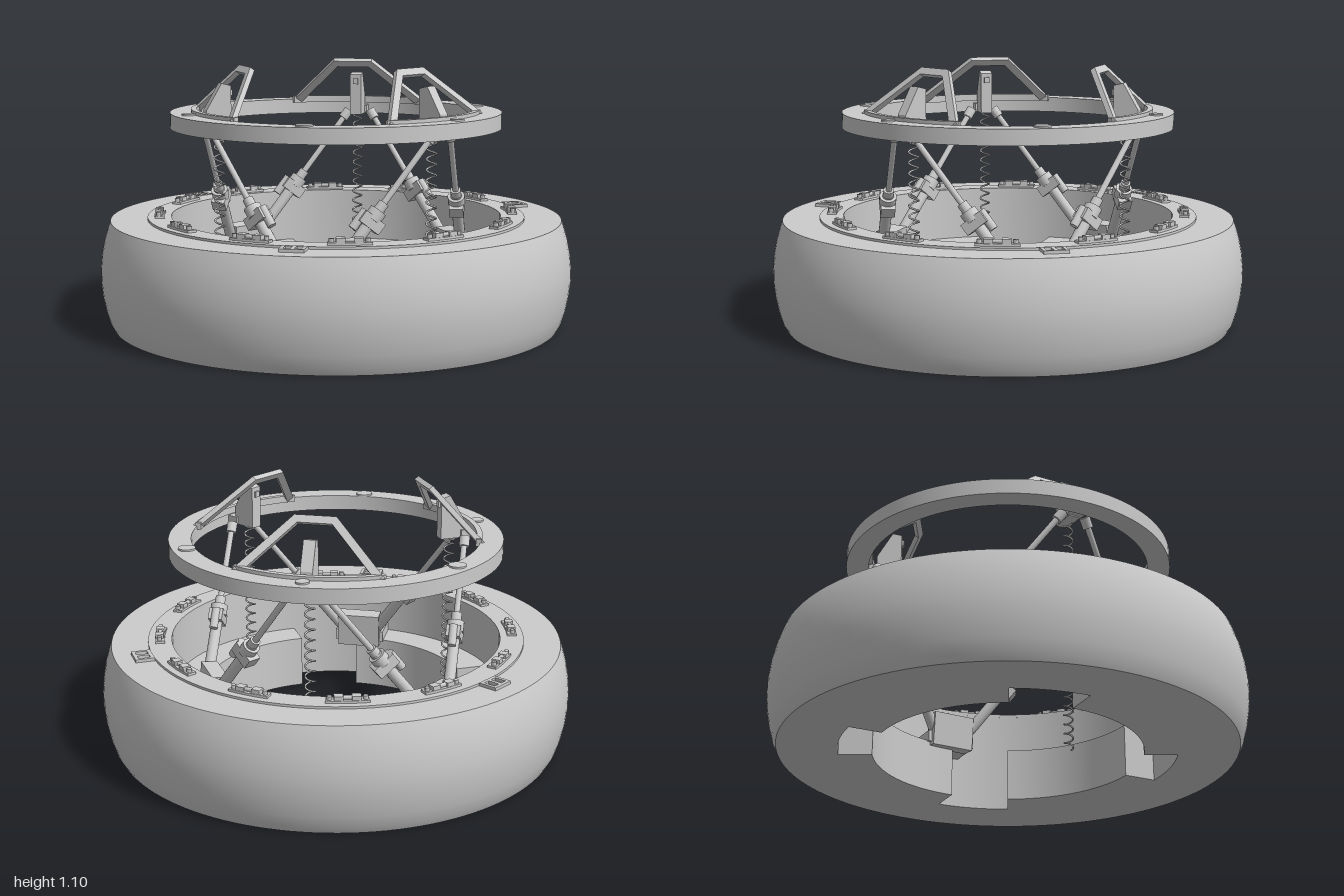
import * as THREE from 'three';
import { toCreasedNormals } from 'three/addons/utils/BufferGeometryUtils.js';

const grey = new THREE.MeshStandardMaterial({ color: 0xcccccc });
const rad = THREE.MathUtils.degToRad;
const V = (x, y, z) => new THREE.Vector3(x, y, z);

function add(parent, name, geometry, x = 0, y = 0, z = 0) {
  const mesh = new THREE.Mesh(geometry, grey);
  mesh.name = name;
  mesh.position.set(x, y, z);
  parent.add(mesh);
  return mesh;
}

// Group turned about the axis; its local +x points outward at the given angle
function sector(parent, name, degrees) {
  const group = new THREE.Group();
  group.name = name;
  group.rotation.y = -rad(degrees);
  parent.add(group);
  return group;
}

function revolve(points, segments = 96) {
  const profile = points.map(([r, y]) => new THREE.Vector2(r, y));
  profile.push(profile[0].clone());
  return toCreasedNormals(new THREE.LatheGeometry(profile, segments), 0.5);
}

// Flat curved block spanning +-half degrees around +x
function arcBlock(inner, outer, half, height) {
  const shape = new THREE.Shape();
  shape.absarc(0, 0, outer, -rad(half), rad(half), false);
  shape.absarc(0, 0, inner, rad(half), -rad(half), true);
  const geo = new THREE.ExtrudeGeometry(shape, { depth: height, bevelEnabled: false, curveSegments: 20 });
  return toCreasedNormals(geo.rotateX(-Math.PI / 2), 0.5);
}

function polygon(points) {
  return new THREE.Shape(points.map(([x, y]) => new THREE.Vector2(x, y)));
}

// Cylinder along part of the line a-b, from fraction f to fraction g
function rod(parent, name, a, b, f, g, radius, sides = 16) {
  const p = a.clone().lerp(b, f), q = a.clone().lerp(b, g);
  const mesh = add(parent, name, new THREE.CylinderGeometry(radius, radius, p.distanceTo(q), sides));
  mesh.position.copy(p).add(q).multiplyScalar(0.5);
  mesh.quaternion.setFromUnitVectors(V(0, 1, 0), q.sub(p).normalize());
  return mesh;
}

function polar(degrees, r, tangent, y) {
  const a = rad(degrees);
  return V(r * Math.cos(a) - tangent * Math.sin(a), y, r * Math.sin(a) + tangent * Math.cos(a));
}

function buildBase(model) {
  const base = new THREE.Group();
  base.name = 'base';
  model.add(base);
  add(base, 'baseShell', revolve([
    [0.7, 0], [0.95, 0], [0.966, 0.03], [0.981, 0.08], [0.993, 0.14], [0.999, 0.2],
    [0.999, 0.25], [0.993, 0.31], [0.981, 0.37], [0.966, 0.42], [0.955, 0.45], [0.7, 0.45],
  ], 128));
  add(base, 'collar', revolve([[0.7, 0.445], [0.8, 0.445], [0.8, 0.46], [0.7, 0.46]]));
  // Inner flange broken by four notches
  for (let i = 0; i < 4; i++) {
    add(sector(base, 'flangeSector', i * 90), 'innerFlange', arcBlock(0.56, 0.702, 32, 0.23));
  }
  // Twelve clamps around the collar
  for (let i = 0; i < 12; i++) {
    const clamp = sector(base, 'clamp', 15 + i * 30);
    add(clamp, 'clampPlate', arcBlock(0.73, 0.77, 6.5, 0.01), 0, 0.46);
    for (const side of [-1, 1]) {
      add(clamp, 'clampBlock', new THREE.BoxGeometry(0.034, 0.025, 0.036), 0.75, 0.475, side * 0.035);
      add(clamp, 'clampBolt', new THREE.CylinderGeometry(0.011, 0.011, 0.02, 6), 0.75, 0.475, side * 0.07);
    }
    add(clamp, 'clampPin', new THREE.CylinderGeometry(0.009, 0.009, 0.07, 10).rotateX(Math.PI / 2), 0.75, 0.477, 0);
  }
  // Three small brackets outside the collar, each with two windows
  const plate = polygon([[-0.04, -0.05], [0.04, -0.05], [0.04, 0.05], [-0.04, 0.05]]);
  for (const s of [-1, 1]) {
    plate.holes.push(polygon([[-0.025, s * 0.022 - 0.014], [-0.025, s * 0.022 + 0.014],
      [0.025, s * 0.022 + 0.014], [0.025, s * 0.022 - 0.014]]));
  }
  const plateGeo = new THREE.ExtrudeGeometry(plate, { depth: 0.016, bevelEnabled: false }).rotateX(-Math.PI / 2);
  // Strut mounts alternate with the guide petals
  for (const angle of [60, 180, 300]) {
    const side = sector(base, 'mountSector', angle);
    add(side, 'bracket', plateGeo, 0.84, 0.447);
    const mount = add(side, 'strutMount', new THREE.BoxGeometry(0.07, 0.15, 0.19), 0.545, 0.285, 0);
    mount.rotation.z = 0.1;
    add(side, 'mountFoot', new THREE.BoxGeometry(0.16, 0.05, 0.22), 0.615, 0.25, 0);
  }
}

function buildGuideRing(model) {
  const ring = new THREE.Group();
  ring.name = 'guideRing';
  model.add(ring);
  add(ring, 'ringBody', revolve([[0.605, 0.835], [0.7, 0.835], [0.7, 0.9], [0.605, 0.9]]));
  for (let i = 0; i < 6; i++) {
    const r = i % 2 ? 0.036 : 0.028;
    add(sector(ring, 'bossSector', i * 60), 'boss', new THREE.CylinderGeometry(r, r, 0.012, 24), 0.64, 0.901);
  }

  // Trapezoid petal frame leaning inward
  const frame = polygon([[-0.305, 0], [-0.26, 0], [-0.07, 0.21], [0.07, 0.21], [0.26, 0], [0.305, 0],
    [0.085, 0.242], [-0.085, 0.242]]);
  const frameGeo = new THREE.ExtrudeGeometry(frame, { depth: 0.022, bevelEnabled: false });
  frameGeo.rotateX(-0.635).rotateY(Math.PI / 2);
  // Wedge-shaped latch behind each petal
  const wedge = polygon([[0.465, 0.84], [0.57, 0.84], [0.57, 0.92], [0.505, 1.03], [0.465, 1.02]]);
  const wedgeGeo = new THREE.ExtrudeGeometry(wedge, { depth: 0.05, bevelEnabled: false }).translate(0, 0, -0.025);

  for (const angle of [0, 120, 240]) {
    const petal = sector(ring, 'guidePetal', angle);
    add(petal, 'petalFrame', frameGeo, 0.525, 0.89);
    add(petal, 'petalRim', arcBlock(0.588, 0.612, 30, 0.03), 0, 0.885);
    add(petal, 'latch', wedgeGeo);
    add(petal, 'latchButton', new THREE.BoxGeometry(0.012, 0.025, 0.022), 0.462, 0.99);
    add(petal, 'latchSupport', new THREE.BoxGeometry(0.06, 0.03, 0.07), 0.585, 0.86);
  }
}

function buildStruts(model) {
  for (const angle of [0, 120, 240]) {
    for (const side of [-1, 1]) {
      const strut = new THREE.Group();
      strut.name = 'strut';
      model.add(strut);
      const top = polar(angle, 0.565, side * 0.05, 0.85);
      const foot = polar(angle + side * 60, 0.56, -side * 0.06, 0.26);
      rod(strut, 'piston', top, foot, 0, 0.55, 0.013, 12);
      rod(strut, 'upperJoint', top, foot, 0, 0.06, 0.022);
      rod(strut, 'cylinderBody', top, foot, 0.5, 1, 0.024);
      rod(strut, 'nose', top, foot, 0.46, 0.51, 0.022);
      rod(strut, 'nut', top, foot, 0.51, 0.57, 0.036, 20);
      // Drive motor hanging on the inner side of the body
      const at = top.clone().lerp(foot, 0.57);
      const out = V(at.x, 0, at.z).normalize();
      const along = foot.clone().sub(top).normalize();
      const across = along.clone().cross(out).normalize();
      const motor = new THREE.Group();
      motor.name = 'driveMotor';
      motor.position.copy(at);
      motor.quaternion.setFromRotationMatrix(
        new THREE.Matrix4().makeBasis(across, along, across.clone().cross(along)));
      strut.add(motor);
      add(motor, 'gearbox', new THREE.BoxGeometry(0.1, 0.05, 0.06), 0, 0.01, 0);
      add(motor, 'motorCan', new THREE.CylinderGeometry(0.018, 0.018, 0.09, 14), side * 0.045, 0.03, 0);
    }
  }
}

function buildSprings(model) {
  const turns = 15, points = [];
  for (let i = 0; i <= turns * 12; i++) {
    const a = i * Math.PI / 6;
    points.push(V(0.02 * Math.cos(a), 0.19 + 0.66 * i / (turns * 12), 0.02 * Math.sin(a)));
  }
  const coil = new THREE.TubeGeometry(new THREE.CatmullRomCurve3(points), turns * 18, 0.004, 6);
  for (const angle of [0, 120, 240]) {
    add(sector(model, 'springSector', angle), 'spring', coil, 0.512, 0, 0);
  }
}

export function createModel() {
  const model = new THREE.Group();
  model.name = 'dockingRing';
  buildBase(model);
  buildGuideRing(model);
  buildStruts(model);
  buildSprings(model);
  return model;
}
